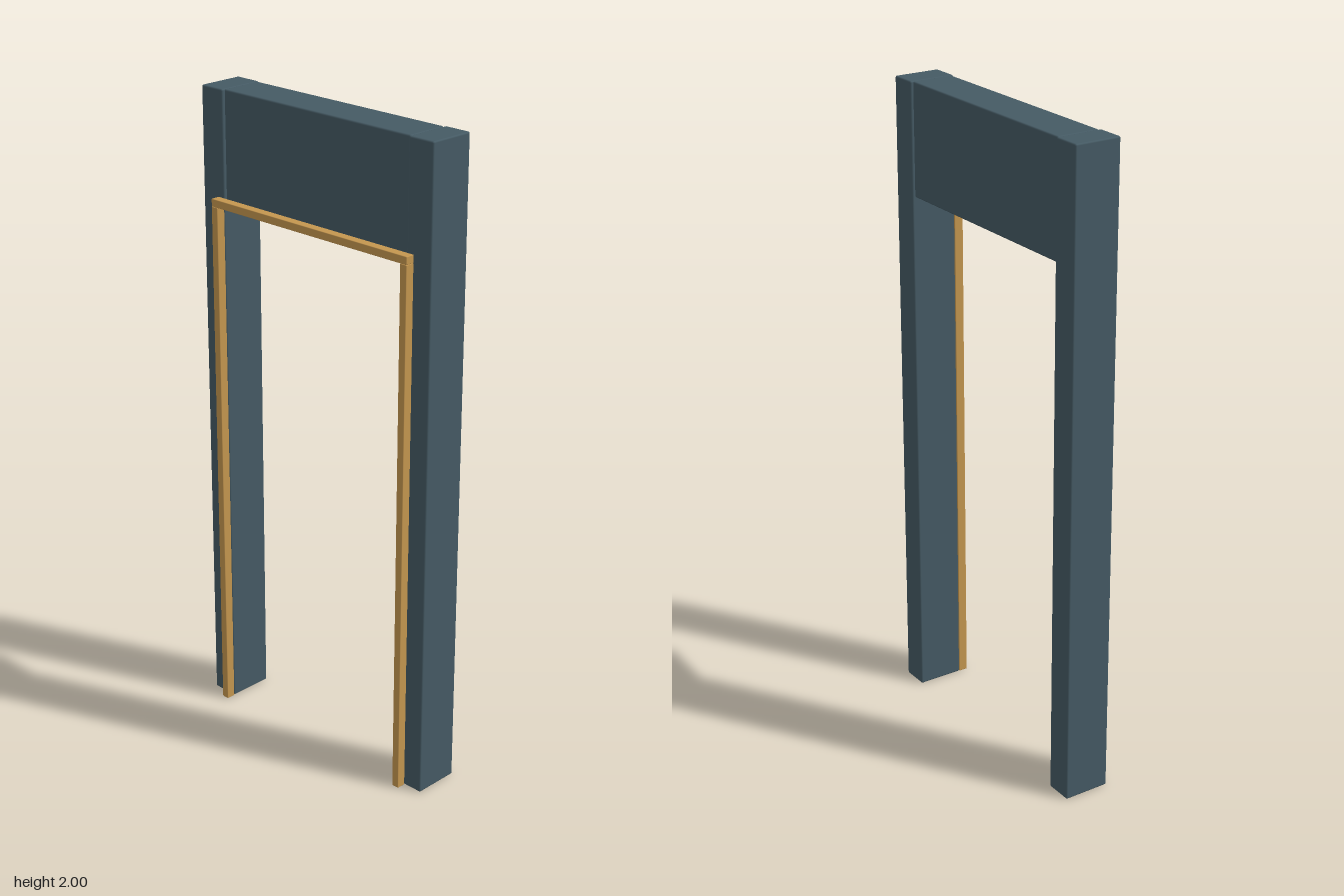
import * as THREE from 'three';
import { RoundedBoxGeometry } from 'three/addons/geometries/RoundedBoxGeometry.js';

const slate = new THREE.MeshStandardMaterial({ color: 0x455a64 });
const wood = new THREE.MeshStandardMaterial({ color: 0xc4964f });

// Softly bevelled block spanning the given min/max corners
function block(name, material, bevel, [x0, y0, z0], [x1, y1, z1]) {
  const geometry = new RoundedBoxGeometry(x1 - x0, y1 - y0, z1 - z0, 2, bevel);
  const mesh = new THREE.Mesh(geometry, material);
  mesh.name = name;
  mesh.position.set((x0 + x1) / 2, (y0 + y1) / 2, (z0 + z1) / 2);
  return mesh;
}

export function createModel() {
  const group = new THREE.Group();
  group.name = 'doorFrame';

  // Overhead panel, slightly recessed between the posts
  group.add(block('lintel', slate, 0.005, [-0.362, 1.653, -0.082], [0.362, 2, 0.051]));

  // Trim strip across the top of the opening
  group.add(block('topTrim', wood, 0.002, [-0.387, 1.653, 0.058], [0.387, 1.677, 0.087]));

  // Side posts and their trim strips, mirrored
  for (const side of [1, -1]) {
    const label = side > 0 ? 'left' : 'right';
    const post = block(label + 'Post', slate, 0.005, [0.363, 0, -0.088], [0.45, 2, 0.058]);
    const trim = block(label + 'Trim', wood, 0.002, [0.363, 0, 0.058], [0.387, 1.653, 0.087]);
    for (const part of [post, trim]) {
      part.position.x *= side;
      group.add(part);
    }
  }
  return group;
}
